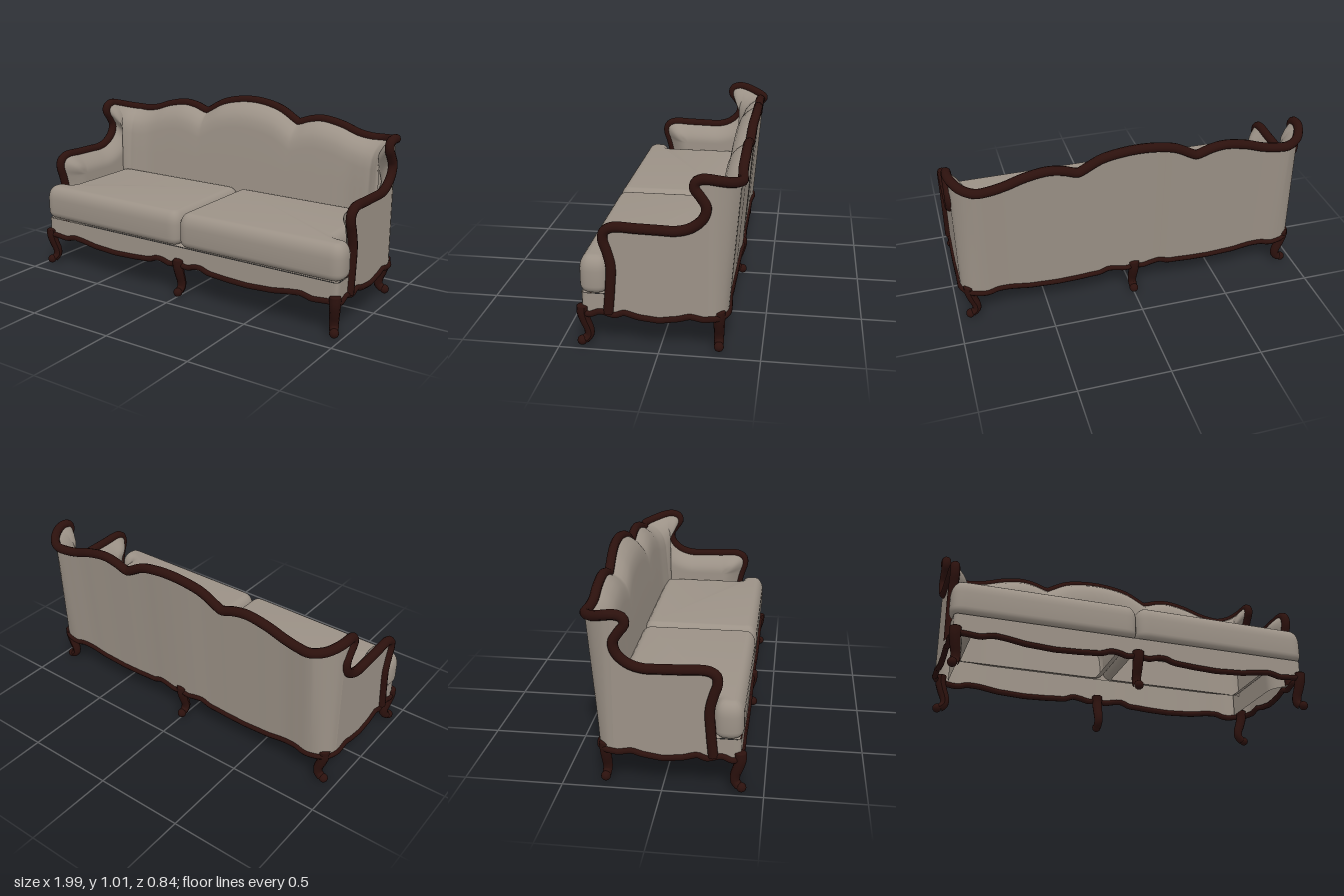
import * as THREE from 'three';
import { mergeVertices, toCreasedNormals } from 'three/addons/utils/BufferGeometryUtils.js';

const X = 0.968; // half width at the centre line of the arm frame
const V2 = (x, y) => new THREE.Vector2(x, y);
const V3 = (x, y, z) => new THREE.Vector3(x, y, z);
const { clamp, lerp, smoothstep } = THREE.MathUtils;
const spline = (pts, closed = false) => new THREE.CatmullRomCurve3(pts, closed, 'centripetal');
const flip = p => V3(-p.x, p.y, p.z);

const fabric = new THREE.MeshStandardMaterial({ color: 0x9c9287, side: THREE.DoubleSide });
fabric.name = 'taupe fabric';
const wood = new THREE.MeshStandardMaterial({ color: 0x2c110d });
wood.name = 'dark wood';

// Arm outline [z, y], from the front foot of the post up to the wing
const ARM = [[0.25, 0.19], [0.238, 0.32], [0.232, 0.44], [0.25, 0.52], [0.267, 0.575], [0.262, 0.615], [0.225, 0.64],
  [0.1, 0.64], [0, 0.638], [-0.09, 0.638], [-0.16, 0.66], [-0.215, 0.71], [-0.228, 0.765], [-0.2, 0.815],
  [-0.172, 0.855], [-0.178, 0.885], [-0.205, 0.899], [-0.24, 0.9]];
// Half of the back from wing to middle: [x, crest height, z at the base, padding x, padding z at the base]
const BACK = [[X, 0.9, -0.24, 0.89, -0.232], [0.955, 0.89, -0.278, 0.884, -0.217], [0.915, 0.872, -0.316, 0.863, -0.207],
  [0.85, 0.862, -0.331, 0.82, -0.207], [0.78, 0.862, -0.328, 0.765, -0.214], [0.7, 0.875, -0.322, 0.7, -0.222],
  [0.6, 0.908, -0.322, 0.6, -0.224], [0.48, 0.928, -0.322, 0.48, -0.224], [0.4, 0.917, -0.323, 0.4, -0.224],
  [0.335, 0.895, -0.324, 0.335, -0.224], [0.315, 0.893, -0.324, 0.315, -0.224], [0.295, 0.903, -0.324, 0.295, -0.224],
  [0.2, 0.955, -0.325, 0.2, -0.224], [0.1, 0.98, -0.33, 0.1, -0.224], [0, 0.988, -0.332, 0, -0.224]];
// Scalloped lower edge, along x for front and back and along z for the sides
const HEM_X = [[0, 0.19], [0.06, 0.18], [0.11, 0.195], [0.15, 0.197], [0.2, 0.177], [0.32, 0.168], [0.45, 0.163],
  [0.6, 0.172], [0.7, 0.188], [0.77, 0.195], [0.83, 0.178], [0.9, 0.185], [1, 0.19]];
const HEM_Z = [[-0.4, 0.19], [-0.22, 0.185], [-0.15, 0.198], [-0.1, 0.182], [0, 0.166], [0.1, 0.176], [0.17, 0.197],
  [0.22, 0.178], [0.29, 0.198], [0.345, 0.175], [0.4, 0.19]];

function lookup(table, v) {
  const i = Math.max(1, table.findIndex(p => p[0] >= v));
  const [a, b] = [table[i - 1], table[i]];
  return lerp(a[1], b[1], (v - a[0]) / (b[0] - a[0]));
}
const hemX = x => lookup(HEM_X, Math.abs(x));
const hemZ = z => lookup(HEM_Z, z);

// The back leans with height; the sides stay upright
const leanAt = (x, y) => 0.08 * (y - 0.2) * clamp((X - Math.abs(x)) / 0.1, 0, 1);
const lean = p => V3(p.x, p.y, p.z - leanAt(p.x, p.y));

function add(parent, name, geometry, material) {
  const mesh = new THREE.Mesh(geometry, material);
  mesh.name = name;
  parent.add(mesh);
  return mesh;
}

// Surface through equal-length rows of points
function loft(rows) {
  const n = rows[0].length, index = [];
  for (let i = 0; i < rows.length - 1; i++)
    for (let j = 0; j < n - 1; j++) {
      const a = i * n + j, b = a + n;
      index.push(a, b, a + 1, b, b + 1, a + 1);
    }
  const g = new THREE.BufferGeometry().setFromPoints(rows.flat());
  g.setIndex(index);
  g.computeVertexNormals();
  return g;
}

// Tube whose radius follows a function of its length
function taperedTube(curve, segments, sides, radius) {
  const g = new THREE.TubeGeometry(curve, segments, 1, sides);
  const pos = g.attributes.position, p = V3(0, 0, 0);
  for (let i = 0; i < pos.count; i++) {
    const t = Math.floor(i / (sides + 1)) / segments;
    const c = curve.getPointAt(t);
    p.fromBufferAttribute(pos, i).sub(c).multiplyScalar(radius(t)).add(c);
    pos.setXYZ(i, p.x, p.y, p.z);
  }
  g.computeVertexNormals();
  return g;
}

// Polygon with rounded corners from [x, y, radius]
function roundedShape(pts) {
  const s = new THREE.Shape();
  pts.forEach(([x, y, r], i) => {
    const c = V2(x, y);
    const prev = pts.at(i - 1), next = pts[(i + 1) % pts.length];
    const a = V2(prev[0], prev[1]).sub(c).setLength(r).add(c);
    const b = V2(next[0], next[1]).sub(c).setLength(r).add(c);
    if (i) s.lineTo(a.x, a.y); else s.moveTo(a.x, a.y);
    s.quadraticCurveTo(x, y, b.x, b.y);
  });
  s.closePath();
  return s;
}

function buildArm() {
  const arm = new THREE.Group();
  const edge = spline(ARM.map(([z, y]) => V3(z, y, 0))).getSpacedPoints(80).map(p => V2(p.x, p.y));
  // Flat outer panel down to the scalloped hem
  const hem = [];
  for (let i = 0; i <= 24; i++) {
    const z = -0.24 + i * 0.02;
    hem.push(V2(z, hemZ(z)));
  }
  const panel = new THREE.ShapeGeometry(new THREE.Shape([...edge, ...hem]));
  panel.rotateY(-Math.PI / 2).translate(X, 0, 0);
  add(arm, 'outerArmPanel', panel, fabric);
  // Inner padding swelling away from the frame towards a flat core
  const rows = edge.map(e => {
    const core = V2(clamp(e.x, -0.3, 0.12), Math.min(e.y, 0.52));
    if (e.x < -0.08) core.lerp(V2(-0.3, 0.6), smoothstep(e.y, 0.64, 0.72));
    const row = [];
    for (let i = 0; i <= 8; i++) {
      const p = e.clone().lerp(core, i / 8);
      const swell = Math.sin((Math.PI / 2) * Math.min(1, p.distanceTo(e) / 0.11));
      row.push(V3(X - 0.012 - 0.07 * swell, p.y, p.x));
    }
    row.push(V3(row[8].x, 0.19, core.x));
    return row;
  });
  add(arm, 'armPadding', loft(rows), fabric);
  return arm;
}

function buildCushion() {
  // Plan with a wing in front of the arm, drawn with y = -z
  const plan = roundedShape([[-0.002, -0.4, 0.07], [0.988, -0.395, 0.07], [0.988, -0.25, 0.07], [0.89, -0.25, 0.025],
    [0.89, 0.26, 0.07], [-0.002, 0.26, 0.07]]);
  const g = new THREE.ExtrudeGeometry(plan, {
    depth: 0.1, bevelThickness: 0.075, bevelSize: 0.05, bevelOffset: -0.05, bevelSegments: 6, curveSegments: 8 });
  g.rotateX(-Math.PI / 2).translate(0, 0.309, 0);
  const pos = g.attributes.position;
  for (let i = 0; i < pos.count; i++) { // tighter rounding below than above
    const y = pos.getY(i);
    if (y < 0.36) pos.setY(i, lerp(0.286, 0.36, (y - 0.234) / 0.126));
  }
  // Open underside
  const kept = [];
  for (let i = 0; i < pos.count; i += 3)
    if (Math.max(pos.getY(i), pos.getY(i + 1), pos.getY(i + 2)) > 0.287)
      for (let k = i; k < i + 3; k++) kept.push(V3(pos.getX(k), pos.getY(k), pos.getZ(k)));
  return toCreasedNormals(mergeVertices(new THREE.BufferGeometry().setFromPoints(kept), 1e-4), 0.8);
}

function buildLeg() {
  // Cabriole leg facing +z, ending in a scroll foot
  const leg = new THREE.Group();
  const path = spline([V3(0, 0.213, 0.002), V3(0, 0.18, 0.003), V3(0, 0.13, -0.01), V3(0, 0.08, -0.027),
    V3(0, 0.048, -0.026), V3(0, 0.025, -0.002)]);
  add(leg, 'legShaft', taperedTube(path, 18, 10, t => 0.031 - 0.008 * t), wood);
  add(leg, 'legCap', new THREE.SphereGeometry(0.031, 12, 6).scale(1, 0.3, 1).translate(0, 0.213, 0.002), wood);
  add(leg, 'scrollFoot', new THREE.SphereGeometry(0.025, 12, 8).translate(0, 0.025, 0.01), wood);
  return leg;
}

export function createModel() {
  const sofa = new THREE.Group();
  sofa.name = 'sofa';

  // Arms
  for (const s of [1, -1]) {
    const arm = buildArm();
    arm.name = s > 0 ? 'leftArm' : 'rightArm';
    arm.scale.x = s;
    sofa.add(arm);
  }

  // Wraparound back: outer shell and inner padding
  const mirrored = half => [...half, ...half.slice(0, -1).reverse().map(flip)];
  const backPts = mirrored(BACK.map(([x, y, z]) => V3(x, y, z)));
  const steps = (backPts.length - 1) * 8;
  const crest = spline(backPts).getPoints(steps);
  const core = spline(mirrored(BACK.map(([, , , x, z]) => V3(x, 0, z)))).getPoints(steps);
  const outer = crest.map(p => [0, 0.25, 0.5, 0.75, 1].map(t => lean(V3(p.x, lerp(hemX(p.x), p.y, t), p.z))));
  add(sofa, 'outerBack', loft(outer), fabric);

  const inner = crest.map((p, i) => {
    const profile = [[0, 0], [0.3, 0.012], [0.6, 0.035], [0.82, 0.065], [0.94, 0.1], [1, 0.15]]
      .map(([f, d]) => [f, p.y - d]);
    profile.push([1, 0.6], [1, 0.45], [1, 0.285]);
    return profile.map(([f, y]) =>
      V3(lerp(p.x, core[i].x, f), y, lerp(p.z, core[i].z, f) - leanAt(p.x, y)));
  });
  add(sofa, 'backPadding', loft(inner), fabric);

  // Carved frame running up one arm, over the crest and down the other
  const side = ARM.slice(0, -1).map(([z, y]) => V3(X, y, z));
  const rail = [...side, ...backPts.map(lean), ...side.map(flip).reverse()];
  add(sofa, 'showWoodFrame', new THREE.TubeGeometry(spline(rail), 340, 0.0255, 10), wood);

  // Front seat apron wrapping round the corners, with a ledge under the cushions
  const apron = [[X, 0.24], [X, 0.29], [X, 0.345], [X, 0.365], [0.962, 0.379]].map(([x, z]) => V3(x, hemZ(z), z));
  for (let i = 0; i <= 40; i++) {
    const x = 0.95 * (1 - i / 40);
    apron.push(V3(x, hemX(x), 0.385));
  }
  add(sofa, 'frontApron', loft(mirrored(apron).map(p => [p, V3(p.x, 0.29, p.z)])), fabric);
  const ledge = new THREE.PlaneGeometry(2 * X - 0.01, 0.135).rotateX(Math.PI / 2).translate(0, 0.289, 0.312);
  add(sofa, 'seatLedge', ledge, fabric);

  // Seat cushions
  const cushion = buildCushion();
  add(sofa, 'leftCushion', cushion, fabric);
  add(sofa, 'rightCushion', cushion, fabric).scale.x = -1;

  // Scalloped wooden moulding around the base
  const loop = [];
  for (let i = 0; i <= 60; i++) {
    const x = -0.95 + (1.9 * i) / 60;
    loop.push(V3(x, hemX(x), 0.384));
  }
  const sideHem = [];
  for (let i = 0; i <= 28; i++) {
    const z = 0.36 - (0.58 * i) / 28;
    sideHem.push(V3(X, hemZ(z), z));
  }
  const backHem = crest.filter((_, i) => i % 4 === 0).map(p => lean(V3(p.x, hemX(p.x), p.z)));
  loop.push(...sideHem, ...backHem, ...sideHem.map(flip).reverse());
  add(sofa, 'baseMoulding', new THREE.TubeGeometry(spline(loop, true), 360, 0.016, 8, true), wood);

  // Six legs: x, z and the direction each foot turns out
  const legs = [[0, 0.383, 0, 'frontMiddleLeg'], [0, -0.322, Math.PI, 'backMiddleLeg']];
  for (const s of [1, -1]) {
    const label = s > 0 ? 'Left' : 'Right';
    legs.push([s * 0.955, 0.38, s * 0.5, `front${label}Leg`], [s * 0.925, -0.29, s * 1.65, `back${label}Leg`]);
  }
  for (const [x, z, turn, name] of legs) {
    const leg = buildLeg();
    leg.name = name;
    leg.position.set(x, 0, z);
    leg.rotation.y = turn;
    sofa.add(leg);
  }
  return sofa;
}
